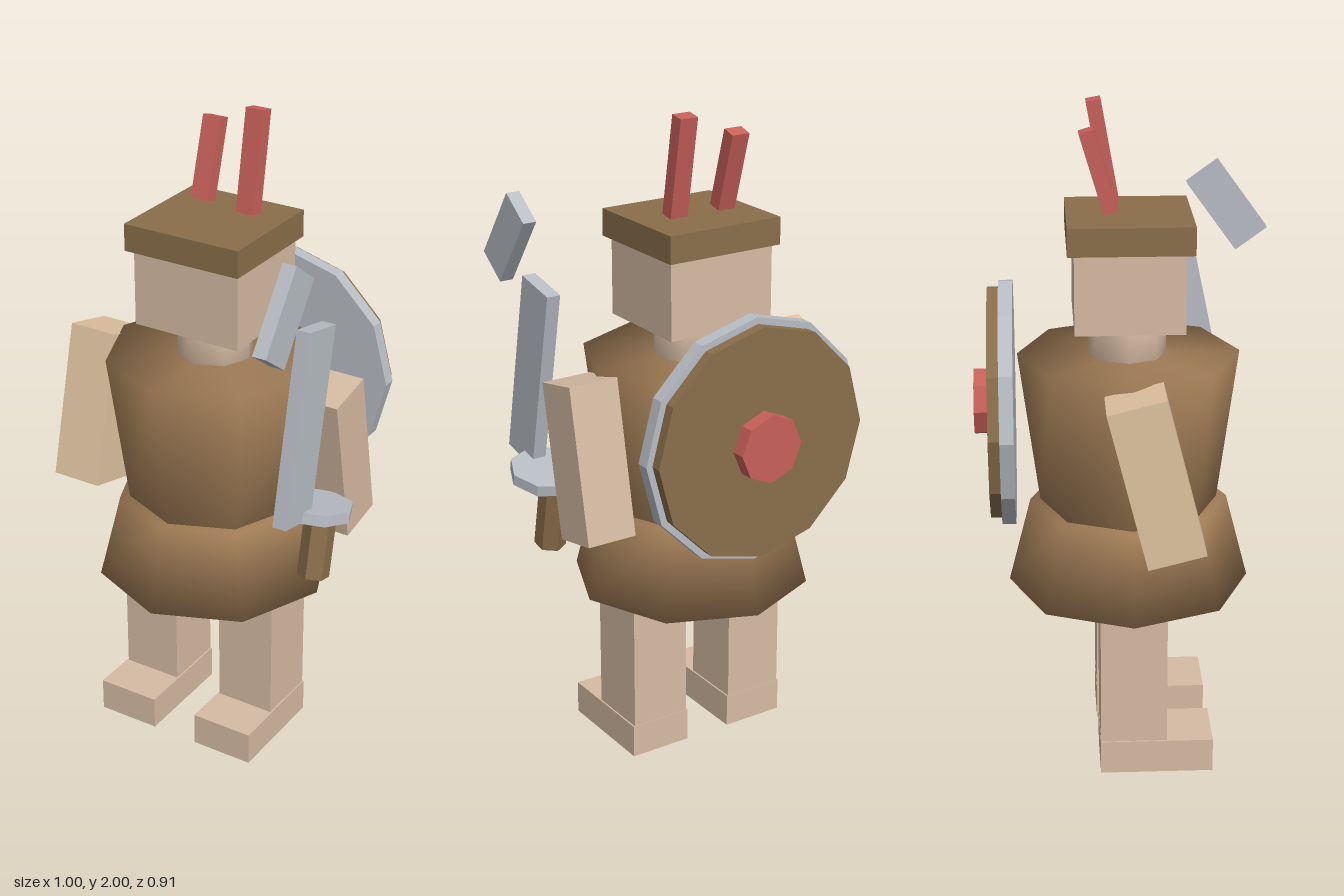
import * as THREE from 'three';
import { mergeVertices } from 'three/addons/utils/BufferGeometryUtils.js';

const SKIN = 0xd6bba3, BROWN = 0xa07c56, WOOD = 0x8a6e4a, RED = 0xc8605a, STEEL = 0xb8bdc4;

export function createModel() {
  const model = new THREE.Group();

  function add(parent, name, geometry, color, [x, y, z], tilt = 0, flat = true) {
    const material = new THREE.MeshStandardMaterial({ color, flatShading: flat });
    const mesh = new THREE.Mesh(geometry, material);
    mesh.name = name;
    mesh.position.set(x, y, z);
    mesh.rotation.x = tilt;
    parent.add(mesh);
    return mesh;
  }
  const box = (w, h, d) => new THREE.BoxGeometry(w, h, d);
  const prism = (r, h, sides) => new THREE.CylinderGeometry(r, r, h, sides);

  // Eight-sided drum with normals averaged across sides and caps
  function softDrum(top, bottom, height) {
    const g = new THREE.CylinderGeometry(top, bottom, height, 8);
    g.deleteAttribute('normal');
    g.deleteAttribute('uv');
    const merged = mergeVertices(g, 1e-3);
    merged.computeVertexNormals();
    return merged;
  }

  const cx = -0.042;

  // Legs and feet
  for (const [side, x] of [['left', 0.131], ['right', -0.22]]) {
    add(model, side + 'Leg', box(0.19, 0.56, 0.2), SKIN, [x, 0.28, 0.007]);
    add(model, side + 'Foot', box(0.2, 0.105, 0.341), SKIN, [x, 0.0525, 0.0765]);
  }

  // Tunic and neck
  add(model, 'skirt', softDrum(0.298, 0.366, 0.265), BROWN, [cx, 0.6625, 0.003], 0, false);
  add(model, 'torso', softDrum(0.33, 0.268, 0.465), BROWN, [cx, 1.0275, 0.003], 0, false);
  add(model, 'neck', softDrum(0.115, 0.115, 0.19), SKIN, [cx, 1.3, 0], 0, false);

  // Head and cap
  add(model, 'head', box(0.35, 0.25, 0.32), SKIN, [cx, 1.49, 0]);
  add(model, 'cap', box(0.38, 0.083, 0.365), WOOD, [cx, 1.643, 0.003]);

  // Two plumes leaning back
  add(model, 'leftPlume', box(0.058, 0.302, 0.044), RED, [0.043, 1.848, -0.069], -0.175);
  add(model, 'rightPlume', box(0.058, 0.243, 0.044), RED, [-0.116, 1.822, -0.086], -0.29);

  // Arms swung in opposite directions
  add(model, 'rightArm', box(0.16, 0.482, 0.173), 0xe0c3a0, [-0.425, 1.013, 0.062], -0.245);
  add(model, 'leftArm', box(0.16, 0.475, 0.159), SKIN, [0.34, 1.008, -0.037], 0.195);

  // Broken sword
  const sword = new THREE.Group();
  sword.name = 'sword';
  add(sword, 'grip', prism(0.048, 0.23, 6), WOOD, [0.382, 0.797, 0.112], -0.2);
  add(sword, 'guard', prism(0.117, 0.034, 8), STEEL, [0.381, 0.918, 0.137], -0.2);
  add(sword, 'lowerBlade', box(0.043, 0.58, 0.147), STEEL, [0.381, 1.214, 0.207], -0.205);
  add(sword, 'bladeTip', box(0.043, 0.262, 0.12), STEEL, [0.381, 1.6, 0.33], -0.627);
  model.add(sword);

  // Round shield carried on the back
  const shield = new THREE.Group();
  shield.name = 'shield';
  shield.position.set(-0.013, 1.102, 0);
  const layers = [
    ['shieldRim', 0.372, 0.041, 12, STEEL, -0.358],
    ['shieldBoard', 0.352, 0.034, 12, WOOD, -0.395],
    ['shieldBoss', 0.103, 0.046, 8, RED, -0.434],
  ];
  for (const [name, r, depth, sides, color, z] of layers) {
    add(shield, name, prism(r, depth, sides), color, [0, 0, z], Math.PI / 2);
  }
  model.add(shield);

  return model;
}
